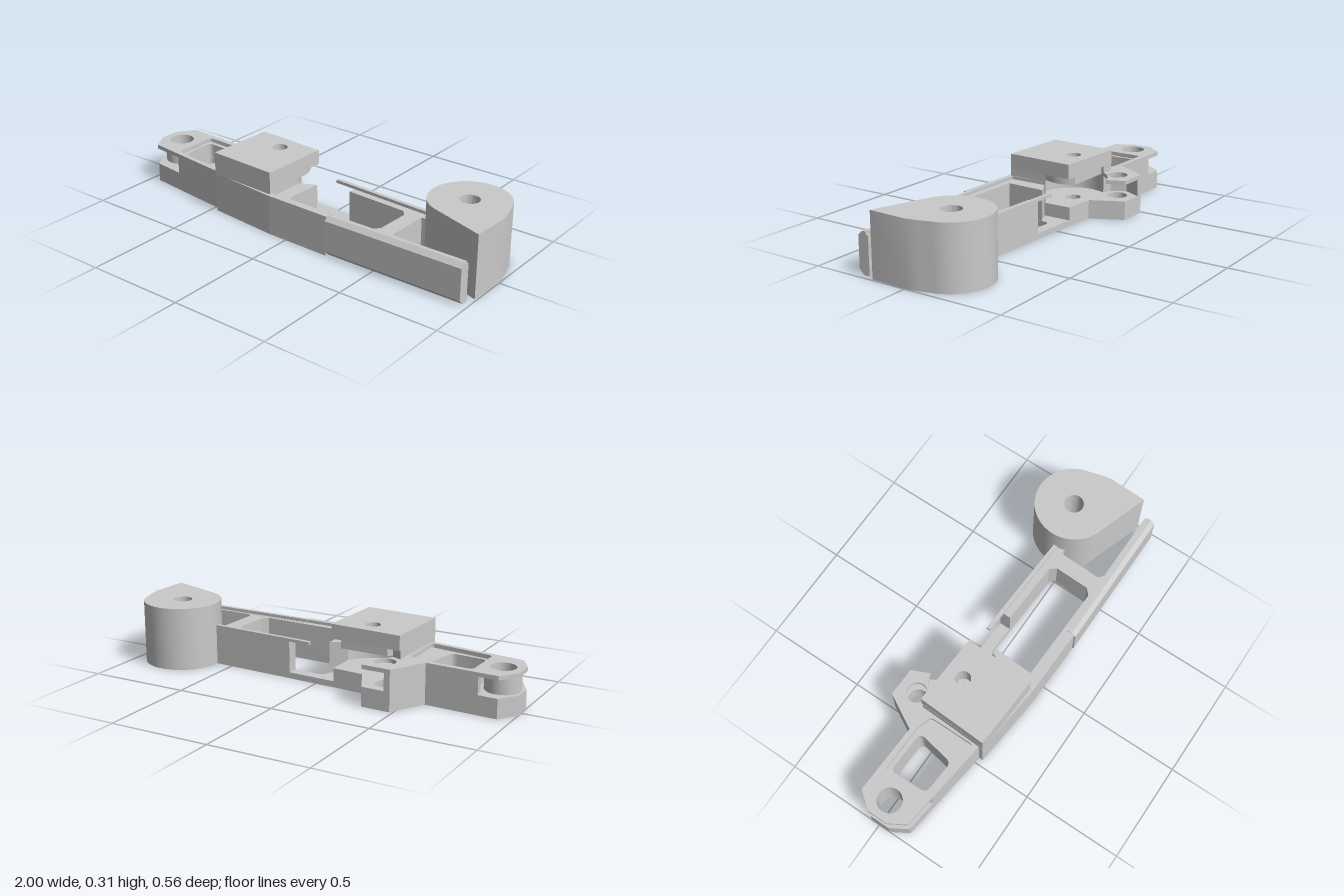
import * as THREE from 'three';
import { toCreasedNormals } from 'three/addons/utils/BufferGeometryUtils.js';

const V = (x, z) => new THREE.Vector2(x, -z);

// Points on an arc in plan (x, z), angles in degrees
function arc(cx, cz, r, a0, a1, n = 24) {
  const pts = [];
  for (let i = 0; i <= n; i++) {
    const a = THREE.MathUtils.degToRad(a0 + (a1 - a0) * i / n);
    pts.push([cx + r * Math.cos(a), cz + r * Math.sin(a)]);
  }
  return pts;
}
const circle = (cx, cz, r) => arc(cx, cz, r, 0, 350, 35);

// Polygon with rounded corners
function rounded(pts, r) {
  const out = [], n = pts.length;
  pts.forEach((p, i) => {
    const c = V(...p), a = V(...pts[(i + n - 1) % n]), b = V(...pts[(i + 1) % n]);
    const s = c.clone().add(a.sub(c).setLength(r));
    const e = c.clone().add(b.sub(c).setLength(r));
    new THREE.QuadraticBezierCurve(s, c, e).getPoints(5).forEach(q => out.push([q.x, -q.y]));
  });
  return out;
}

// Plan points as shape points, always counter-clockwise so that hole walls face inwards
function outline(pts) {
  const out = pts.map(p => V(...p));
  return THREE.ShapeUtils.isClockWise(out) ? out.reverse() : out;
}

export function createModel() {
  const group = new THREE.Group();
  const grey = new THREE.MeshStandardMaterial({ color: 0xcacaca });
  grey.name = 'grey';

  function add(name, geometry) {
    const mesh = new THREE.Mesh(toCreasedNormals(geometry, 0.5), grey);
    mesh.name = name;
    group.add(mesh);
  }
  // Plan outline raised from y0 to y1
  function slab(name, pts, y0, y1, holes = []) {
    const shape = new THREE.Shape(outline(pts));
    holes.forEach(h => shape.holes.push(new THREE.Path(outline(h))));
    const g = new THREE.ExtrudeGeometry(shape, { depth: y1 - y0, bevelEnabled: false });
    g.rotateX(-Math.PI / 2);
    g.translate(0, y0, 0);
    add(name, g);
  }

  const PIVOT = [-0.905, 0.012], EAR = [-0.415, -0.185], HUB = [-0.265, -0.02];
  const pivotHole = circle(...PIVOT, 0.06), earHole = circle(...EAR, 0.05);
  const hubHole = circle(...HUB, 0.037);
  const smallWindow = rounded([[-0.785, -0.07], [-0.565, -0.06], [-0.6, 0.137], [-0.78, 0.125]], 0.03);
  const bigWindow = rounded([[-0.015, -0.045], [0.495, -0.02], [0.49, 0.215], [-0.03, 0.202]], 0.03);

  const nose = [[-0.95, 0.145], [-1, 0.06], [-1, -0.04], [-0.935, -0.125]];
  const bump = [[-0.58, -0.11], [-0.485, -0.28], [-0.34, -0.275]];
  const front = [[-0.1, 0.262], [-0.47, 0.225], [-0.47, 0.205]];

  // Left body: base, slotted middle and top rim
  slab('leftBase', [...nose, ...bump, [-0.26, -0.115], [-0.1, -0.105], ...front],
    0, 0.095, [pivotHole, smallWindow, earHole, hubHole]);
  slab('leftMiddle', [
    [-0.785, 0.166], ...arc(...PIVOT, 0.108, 45, -45, 12), [-0.84, -0.122],
    [-0.58, -0.11], [-0.485, -0.28], [-0.455, -0.279], [-0.5, -0.19], [-0.46, -0.12],
    ...arc(...HUB, 0.17, 210, 20), ...front], 0.095, 0.18, [smallWindow]);
  slab('leftTopRim', [...nose, ...bump, ...arc(...HUB, 0.17, 258, 20), ...front],
    0.18, 0.2, [pivotHole, earHole,
      rounded([[-0.8, -0.09], [-0.56, -0.085], [-0.477, -0.06], [-0.477, 0.18], [-0.8, 0.138]], 0.02)]);
  slab('pivotSleeve', circle(...PIVOT, 0.085), 0.095, 0.18, [pivotHole]);

  // Raised block over the round pocket
  const blockBack = [[-0.455, -0.125], [-0.09, -0.105]];
  const blockFront = [[-0.105, 0.247], [-0.47, 0.228]];
  slab('blockWall', [[-0.457, -0.12], ...arc(...HUB, 0.17, 210, 20), ...blockFront], 0.2, 0.24);
  slab('blockTop', [...blockBack, ...blockFront], 0.24, 0.312, [hubHole]);
  slab('blockBoss', arc(...HUB, 0.15, -36, 216, 30), 0.2, 0.24, [hubHole]);

  // Right frame: thin floor, walls with a gap at the back, rims
  const tail = [[0.62, -0.015], [0.575, -0.015], [0.567, 0.2], [0.59, 0.222],
    [0.965, 0.222], [0.965, 0.25], [0.25, 0.25], [0.245, 0.27]];
  slab('frameFloor', [[-0.1, -0.105], [0.62, -0.07], ...tail, [-0.1, 0.262]], 0, 0.03, [bigWindow]);
  slab('frameWalls', [
    [-0.1, 0.04], [-0.02, 0], [-0.03, 0.202], [0.46, 0.214], [0.49, 0.185], [0.495, 0.01], [0.47, -0.021],
    [0.15, -0.037], [0.15, -0.093], [0.62, -0.07], ...tail, [-0.1, 0.262]], 0.03, 0.185);
  slab('backRim', [[0.04, -0.098], [0.62, -0.07], [0.62, -0.05], [0.04, -0.078]], 0.185, 0.2);
  slab('frontRim', [[-0.1, 0.235], [0.25, 0.24], [0.245, 0.27], [-0.1, 0.262]], 0.185, 0.2);

  // Chamfered rail on the front
  const profile = [[0.222, 0], [0.253, 0], [0.278, 0.025], [0.278, 0.18], [0.256, 0.201],
    [0.236, 0.201], [0.236, 0.186], [0.222, 0.186]];
  const rail = new THREE.ExtrudeGeometry(
    new THREE.Shape(profile.map(([z, y]) => new THREE.Vector2(-z, y))), { depth: 0.725, bevelEnabled: false });
  rail.rotateY(Math.PI / 2);
  rail.translate(0.245, 0, 0);
  add('frontRail', rail);

  // Tall teardrop post
  slab('teardropPost', [...arc(0.78, -0.085, 0.193, 114, 350, 40), [0.985, -0.07], [0.998, -0.01], [0.99, 0.187]],
    0, 0.312, [circle(0.78, -0.085, 0.048)]);

  return group;
}
